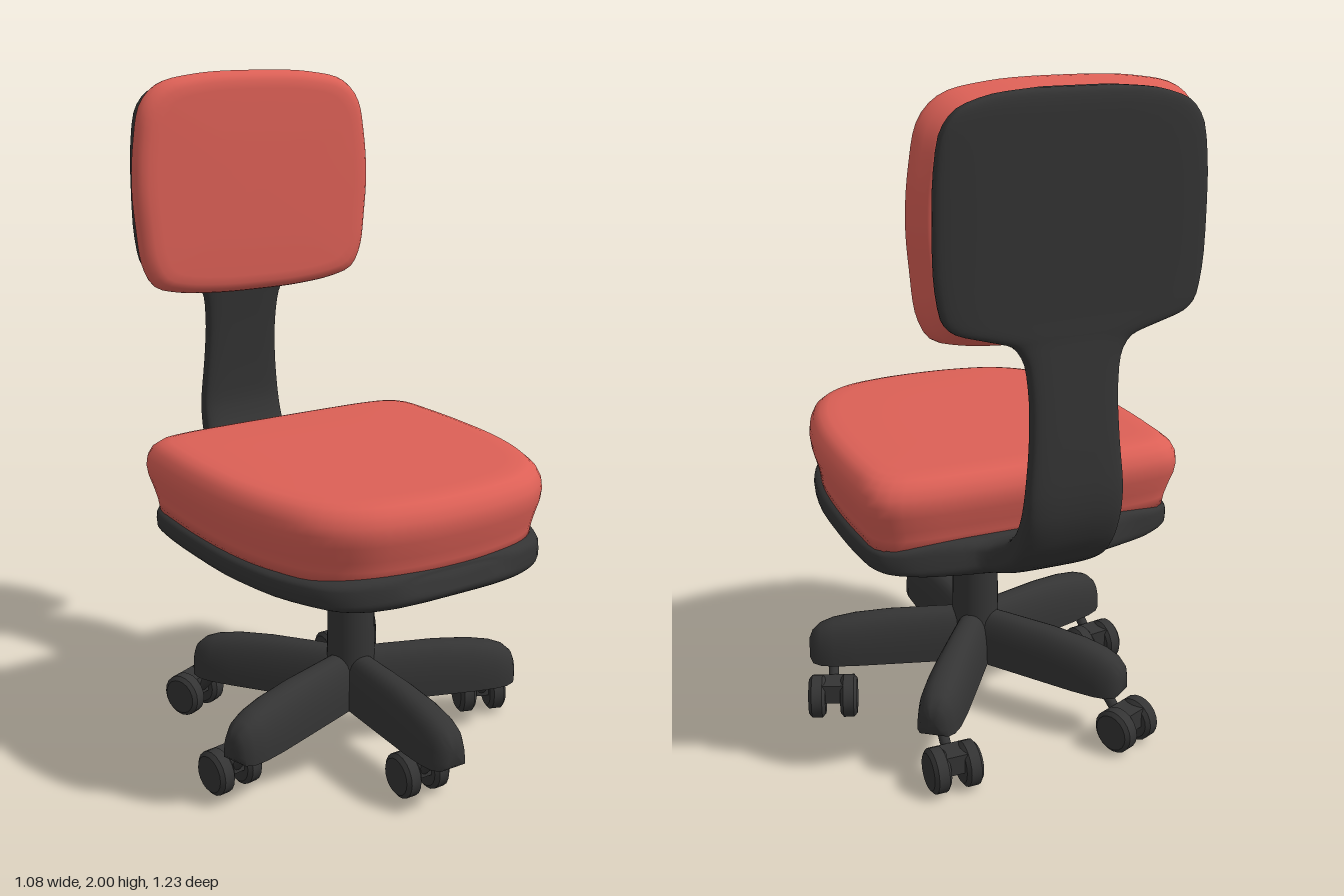
import * as THREE from 'three';
import { toCreasedNormals } from 'three/addons/utils/BufferGeometryUtils.js';

const red = new THREE.MeshStandardMaterial({ color: 0xdc6056 });
const dark = new THREE.MeshStandardMaterial({ color: 0x343434 });
const COLUMN_Z = 0.085;

function add(parent, name, geometry, material, x = 0, y = 0, z = 0) {
  const mesh = new THREE.Mesh(geometry, material);
  mesh.name = name;
  mesh.position.set(x, y, z);
  parent.add(mesh);
  return mesh;
}

// Skin a list of closed rings, with a fan cap at both ends
function loft(rings) {
  const n = rings[0].length, pos = [], index = [];
  const centre = (ring) => ring.reduce((s, p) => s.add(p), new THREE.Vector3()).divideScalar(n);
  rings.forEach((ring) => ring.forEach((p) => pos.push(p.x, p.y, p.z)));
  for (let s = 0; s < rings.length - 1; s++) {
    for (let i = 0; i < n; i++) {
      const a = s * n + i, b = s * n + (i + 1) % n;
      index.push(a, a + n, b, b, a + n, b + n);
    }
  }
  const first = rings.length * n, last = first + 1, end = first - n;
  for (const c of [centre(rings[0]), centre(rings[rings.length - 1])]) pos.push(c.x, c.y, c.z);
  for (let i = 0; i < n; i++) {
    const j = (i + 1) % n;
    index.push(first, i, j, last, end + j, end + i);
  }
  const g = new THREE.BufferGeometry();
  g.setAttribute('position', new THREE.Float32BufferAttribute(pos, 3));
  g.setIndex(index);
  g.computeVertexNormals();
  return g;
}

// Smooth closed outline from one half, mirrored in x
function outline(half, count = 96) {
  const mirrored = half.slice(1, -1).reverse().map(([x, v]) => [-x, v]);
  const points = [...half, ...mirrored].map(([x, v]) => new THREE.Vector3(x, v, 0));
  return new THREE.CatmullRomCurve3(points, true, 'centripetal').getSpacedPoints(count).slice(0, count);
}

// Seat pan, curved upright and back plate in one sweep: [z, y, half width, half thickness]
function shellGeometry() {
  const stations = [
    [0.605, 0.715, 0.1, 0.02], [0.595, 0.712, 0.2, 0.04], [0.56, 0.708, 0.3, 0.052],
    [0.5, 0.705, 0.365, 0.055], [0.35, 0.705, 0.435, 0.055], [0.15, 0.705, 0.47, 0.055],
    [-0.1, 0.705, 0.475, 0.055], [-0.25, 0.705, 0.465, 0.055], [-0.31, 0.705, 0.44, 0.055],
    [-0.345, 0.705, 0.38, 0.054], [-0.365, 0.706, 0.29, 0.053], [-0.39, 0.71, 0.2, 0.05],
    [-0.43, 0.722, 0.165, 0.05], [-0.49, 0.755, 0.148, 0.047], [-0.54, 0.81, 0.142, 0.042],
    [-0.572, 0.88, 0.14, 0.036], [-0.585, 0.96, 0.137, 0.03], [-0.58, 1.08, 0.126, 0.028],
    [-0.57, 1.2, 0.122, 0.027], [-0.56, 1.3, 0.132, 0.027], [-0.555, 1.35, 0.165, 0.027],
    [-0.553, 1.375, 0.24, 0.028], [-0.552, 1.4, 0.32, 0.028], [-0.551, 1.44, 0.355, 0.028],
    [-0.55, 1.55, 0.372, 0.028], [-0.55, 1.75, 0.372, 0.028], [-0.55, 1.88, 0.355, 0.028],
    [-0.55, 1.94, 0.31, 0.027], [-0.55, 1.97, 0.22, 0.022], [-0.55, 1.982, 0.1, 0.012],
  ];
  const curve = (f) => new THREE.CatmullRomCurve3(stations.map(f), false, 'catmullrom', 0.4);
  const path = curve(([z, y]) => new THREE.Vector3(0, y, z));
  const size = curve(([, , w, t]) => new THREE.Vector3(w, t, 0));
  const rings = [], steps = (stations.length - 1) * 3, sides = 48;
  const power = (v) => Math.sign(v) * Math.sqrt(Math.abs(v));
  for (let s = 0; s <= steps; s++) {
    const p = path.getPoint(s / steps), d = size.getPoint(s / steps);
    const normal = new THREE.Vector3(1, 0, 0).cross(path.getTangent(s / steps));
    rings.push(Array.from({ length: sides }, (_, i) => {
      const a = (i / sides) * Math.PI * 2;
      return p.clone().addScaledVector(normal, d.y * power(Math.sin(a)))
        .add(new THREE.Vector3(d.x * power(Math.cos(a)), 0, 0));
    }));
  }
  return loft(rings);
}

// Seat cushion: one plan outline scaled at each height
function seatGeometry() {
  const plan = outline([[0, 0.615], [0.15, 0.605], [0.28, 0.57], [0.38, 0.49], [0.44, 0.36],
    [0.475, 0.2], [0.488, 0], [0.485, -0.2], [0.475, -0.3], [0.44, -0.345], [0.36, -0.365],
    [0.2, -0.372], [0, -0.373]]);
  const layers = [[0.952, 0.4], [0.951, 0.8], [0.949, 0.88], [0.942, 0.93], [0.925, 0.97],
    [0.9, 0.994], [0.875, 1], [0.845, 0.992], [0.8, 0.965], [0.77, 0.95], [0.735, 0.94]];
  return loft(layers.map(([y, k]) => plan.map((p) =>
    new THREE.Vector3(p.x * k, y, 0.12 + (p.y - 0.12) * k))));
}

// Back cushion: one front outline scaled at each depth
function backGeometry() {
  const face = outline([[0, 2], [0.2, 1.992], [0.32, 1.965], [0.375, 1.91], [0.4, 1.8],
    [0.41, 1.67], [0.402, 1.55], [0.385, 1.43], [0.35, 1.37], [0.28, 1.347], [0.15, 1.333], [0, 1.33]]);
  const layers = [[-0.53, 0.89], [-0.515, 0.91], [-0.495, 0.96], [-0.475, 0.995], [-0.462, 1],
    [-0.447, 0.985], [-0.434, 0.955], [-0.427, 0.91], [-0.424, 0.84], [-0.422, 0.4]];
  return loft(layers.map(([z, k]) => face.map((p) =>
    new THREE.Vector3(p.x * k, 1.665 + (p.y - 1.665) * k, z))));
}

// Base leg along +z: [radius, half width, bottom, top]
function legGeometry() {
  const stations = [[0, 0.055, 0.15, 0.312], [0.1, 0.058, 0.15, 0.312], [0.27, 0.063, 0.15, 0.308],
    [0.38, 0.066, 0.15, 0.298], [0.45, 0.064, 0.15, 0.284], [0.49, 0.056, 0.15, 0.268],
    [0.515, 0.042, 0.153, 0.245], [0.525, 0.022, 0.165, 0.22]];
  const arch = 20;
  const rings = stations.map(([r, w, low, high]) => Array.from({ length: arch + 1 }, (_, i) => {
    const a = (i / arch) * Math.PI;
    const c = Math.cos(a);
    return new THREE.Vector3(-w * Math.sign(c) * Math.pow(Math.abs(c), 0.8),
      low + (high - low) * Math.pow(Math.abs(Math.sin(a)), 0.8), r);
  }));
  return toCreasedNormals(loft(rings), 0.9);
}

// Twin-wheel caster trailing behind its stem
function makeCaster() {
  const caster = new THREE.Group();
  caster.name = 'caster';
  const rod = new THREE.LineCurve3(new THREE.Vector3(0, 0.17, 0.012), new THREE.Vector3(0, 0.085, -0.07));
  add(caster, 'casterStem', new THREE.TubeGeometry(rod, 1, 0.016, 12), dark);
  add(caster, 'casterBracket', new THREE.BoxGeometry(0.07, 0.06, 0.075), dark, 0, 0.092, -0.1);
  const profile = [[0, -0.026], [0.054, -0.026], [0.066, -0.016], [0.066, 0.016], [0.054, 0.026], [0, 0.026]]
    .map(([r, y]) => new THREE.Vector2(r, y));
  const wheel = toCreasedNormals(new THREE.LatheGeometry(profile, 20), 0.5).rotateZ(Math.PI / 2);
  for (const side of [-1, 1]) add(caster, 'casterWheel', wheel, dark, side * 0.049, 0.068, -0.1);
  return caster;
}

export function createModel() {
  const chair = new THREE.Group();
  chair.name = 'officeChair';
  add(chair, 'seatCushion', seatGeometry(), red);
  add(chair, 'backCushion', backGeometry(), red);
  add(chair, 'supportShell', shellGeometry(), dark);

  // Gas column and hub
  add(chair, 'columnRod', new THREE.CylinderGeometry(0.042, 0.042, 0.24, 32), dark, 0, 0.57, COLUMN_Z);
  add(chair, 'columnSleeve', new THREE.CylinderGeometry(0.07, 0.074, 0.34, 32), dark, 0, 0.32, COLUMN_Z);
  add(chair, 'hub', new THREE.CylinderGeometry(0.07, 0.095, 0.15, 32), dark, 0, 0.225, COLUMN_Z);

  // Five legs, each with a caster swivelled a little differently
  const leg = legGeometry();
  const swivels = [0, -0.35, 0, 0.4, 0.15];
  swivels.forEach((swivel, i) => {
    const angle = (i / 5) * Math.PI * 2;
    add(chair, 'baseLeg', leg, dark, 0, 0, COLUMN_Z).rotation.y = angle;
    const caster = makeCaster();
    caster.position.set(Math.sin(angle) * 0.45, 0, COLUMN_Z + Math.cos(angle) * 0.45);
    caster.rotation.y = swivel;
    chair.add(caster);
  });
  return chair;
}
